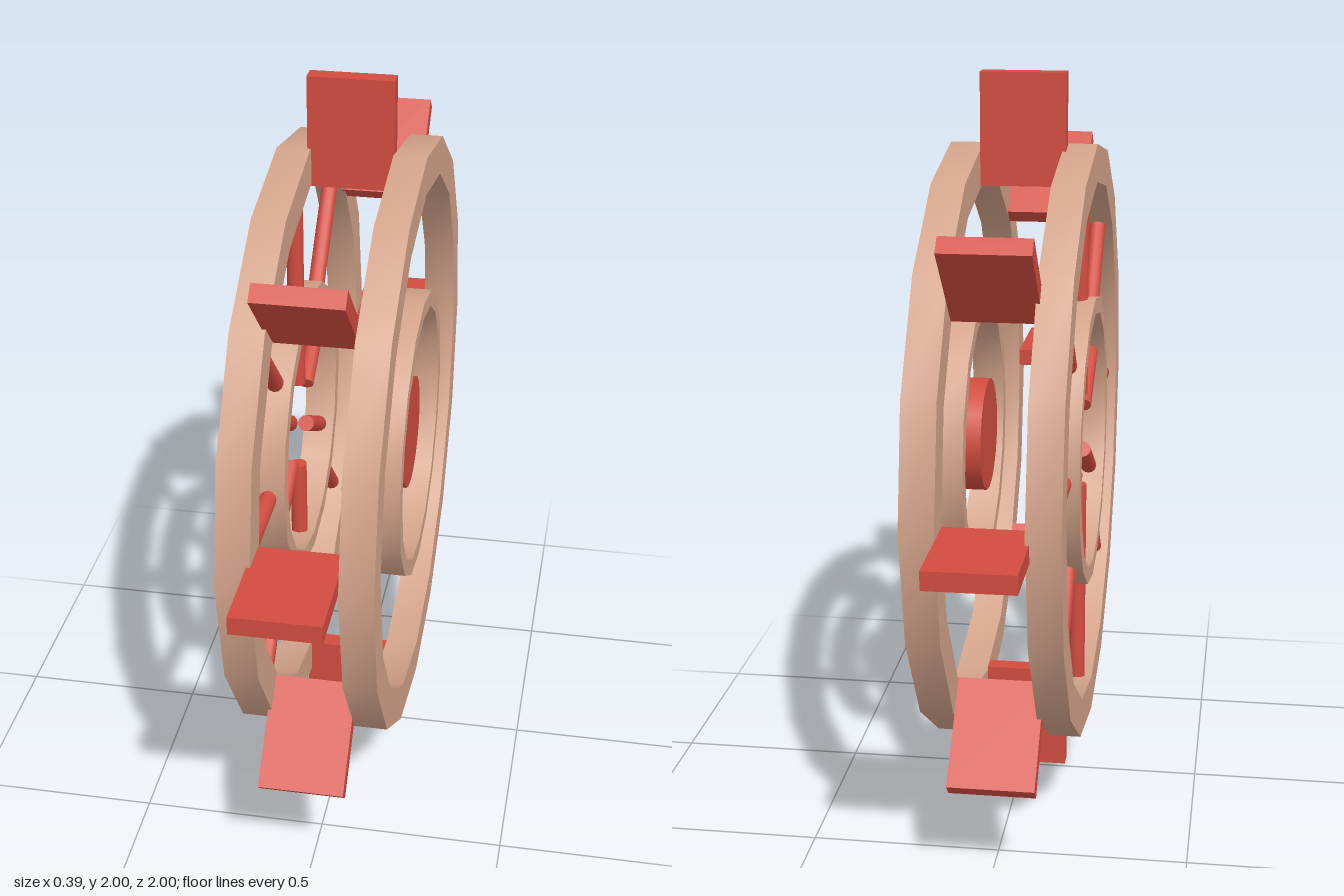
import * as THREE from 'three';
import { toCreasedNormals } from 'three/addons/utils/BufferGeometryUtils.js';

const wood = new THREE.MeshStandardMaterial({ color: 0xd4a48b });
wood.name = 'pale wood';
const red = new THREE.MeshStandardMaterial({ color: 0xd24c3f });
red.name = 'painted red';

// Sixteen-sided ring with a rectangular section, turning about the x axis
function ring(inner, outer, width) {
  const h = width / 2;
  const profile = [[inner, -h], [outer, -h], [outer, h], [inner, h], [inner, -h]]
    .map(([r, y]) => new THREE.Vector2(r, y));
  const geometry = new THREE.LatheGeometry(profile, 16).rotateZ(-Math.PI / 2);
  return toCreasedNormals(geometry, 0.6);
}

export function createModel() {
  const model = new THREE.Group();
  model.name = 'paddleWheel';
  const wheel = new THREE.Group();
  wheel.name = 'wheel';
  wheel.position.y = 1;
  model.add(wheel);

  function add(name, geometry, material, x = 0, parent = wheel) {
    const mesh = new THREE.Mesh(geometry, material);
    mesh.name = name;
    mesh.position.x = x;
    parent.add(mesh);
    return mesh;
  }

  // Outer and inner rings on both sides
  const outerRing = ring(0.71, 0.81, 0.087);
  const innerRing = ring(0.353, 0.397, 0.087);
  for (const [side, x] of [['left', 0.148], ['right', -0.154]]) {
    add(side + 'OuterRing', outerRing, wood, x);
    add(side + 'InnerRing', innerRing, wood, x);
  }

  // Hub disc on the left side only
  add('hubDisc', new THREE.CylinderGeometry(0.155, 0.155, 0.07, 20).rotateZ(Math.PI / 2), red, 0.13).position.y = 0.004;

  // Spokes on the right side: six inside the small ring, eight between the rings
  function spokes(name, count, from, to) {
    const geometry = new THREE.CylinderGeometry(0.023, 0.023, to - from, 12).translate(0, (from + to) / 2, 0);
    for (let i = 0; i < count; i++) {
      add(name, geometry, red, -0.154).rotation.x = i * Math.PI * 2 / count;
    }
  }
  spokes('innerSpoke', 6, 0.13, 0.37);
  spokes('outerSpoke', 8, 0.38, 0.74);

  // Eight paddles bridging the rings, set off to one side of each radius
  const paddle = new THREE.BoxGeometry(0.225, 0.295, 0.048).translate(0, 0.8525, -0.039);
  for (let i = 0; i < 8; i++) {
    add('paddle', paddle, red, -0.008).rotation.x = i * Math.PI / 4;
  }
  return model;
}
